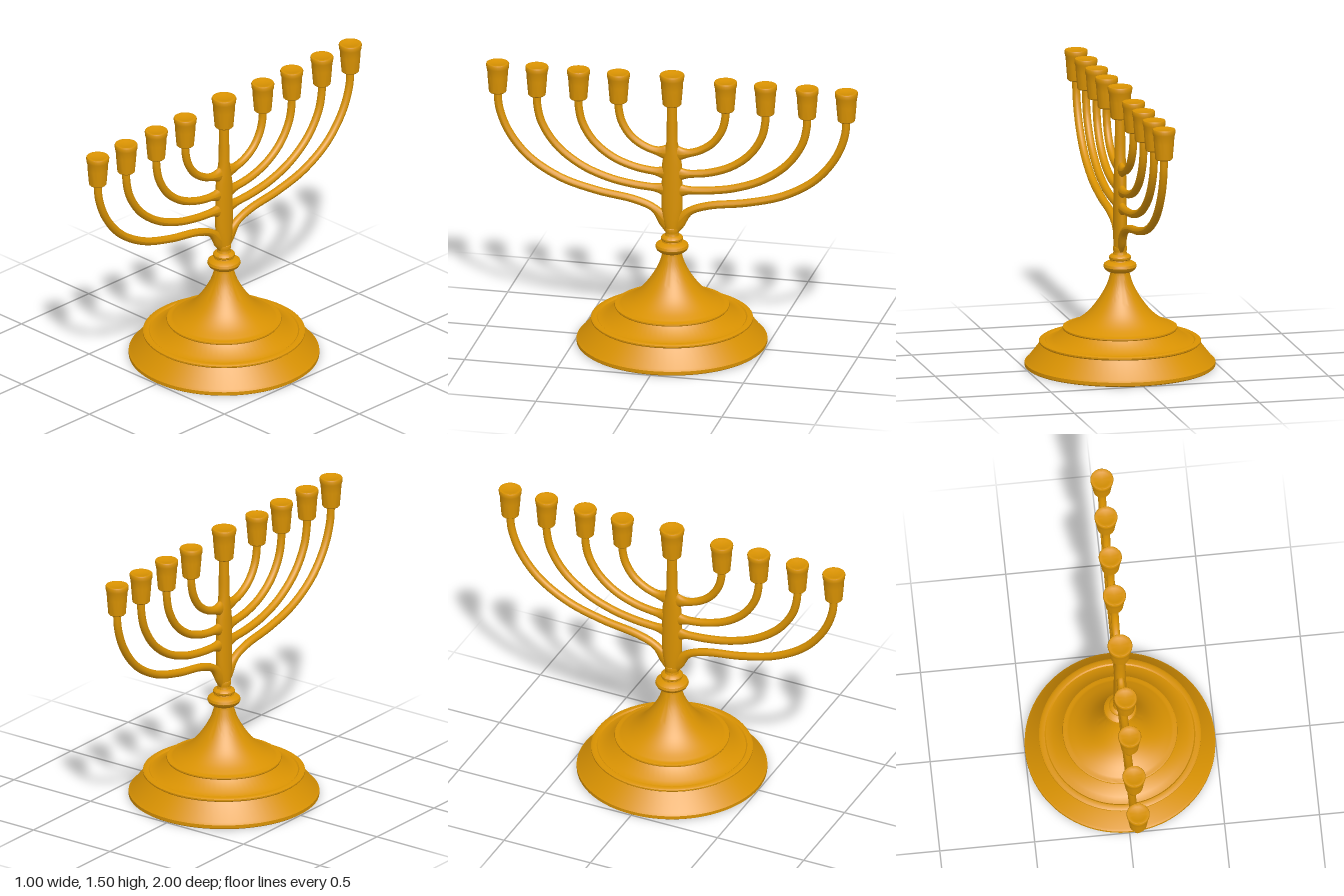
import * as THREE from 'three';
import { toCreasedNormals } from 'three/addons/utils/BufferGeometryUtils.js';

const gold = new THREE.MeshStandardMaterial({ name: 'gold', color: 0xd99202 });
const brown = new THREE.MeshStandardMaterial({ name: 'brown underside', color: 0xb38946 });

const v2 = (points) => points.map(([r, y]) => new THREE.Vector2(r, y));

// Turned shape with crisp edges where the profile bends sharply
function turned(points, segments = 64) {
  return toCreasedNormals(new THREE.LatheGeometry(v2(points), segments), 0.6);
}

function add(parent, name, geometry, material = gold) {
  const mesh = new THREE.Mesh(geometry, material);
  mesh.name = name;
  parent.add(mesh);
  return mesh;
}

// Curved arm in the yz plane, thickened into a fillet where it meets the stem
function armGeometry(points, side) {
  const curve = new THREE.CatmullRomCurve3(points.map(([z, y]) => new THREE.Vector3(0, y, z * side)));
  const steps = 64, around = 14;
  const geo = new THREE.TubeGeometry(curve, steps, 0.021, around);
  const pos = geo.attributes.position;
  for (let i = 0; i <= steps; i++) {
    const c = curve.getPointAt(i / steps);
    const reach = THREE.MathUtils.clamp(1 - (Math.abs(c.z) - 0.04) / 0.07, 0, 1);
    const k = 1 + 0.9 * reach ** 2;
    for (let j = 0; j <= around; j++) {
      const n = i * (around + 1) + j;
      pos.setY(n, c.y + (pos.getY(n) - c.y) * k);
      pos.setZ(n, c.z + (pos.getZ(n) - c.z) * k);
    }
  }
  geo.computeVertexNormals();
  return geo;
}

export function createModel() {
  const model = new THREE.Group();
  model.name = 'candelabrum';

  // Stepped round foot sweeping up to the neck
  const sweep = new THREE.SplineCurve(v2([
    [0.28, 0.215], [0.22, 0.247], [0.165, 0.293], [0.113, 0.36],
    [0.073, 0.43], [0.053, 0.49], [0.048, 0.52],
  ])).getPoints(24).map((p) => [p.x, p.y]);
  add(model, 'foot', turned([
    [0.492, 0], [0.5, 0.006], [0.5, 0.024], [0.488, 0.034], [0.418, 0.124],
    [0.425, 0.13], [0.425, 0.138], [0.416, 0.144], [0.395, 0.144], [0.388, 0.138],
    [0.352, 0.146], [0.298, 0.2], [0.301, 0.205], [0.3, 0.212], [0.292, 0.215], ...sweep,
  ], 72));
  const underside = add(model, 'underside', new THREE.CircleGeometry(0.492, 72), brown);
  underside.rotation.x = Math.PI / 2;

  // Round knop and small rings above the foot
  add(model, 'knop', turned([
    [0.045, 0.505], [0.065, 0.51], [0.08, 0.521], [0.088, 0.537], [0.084, 0.55],
    [0.07, 0.56], [0.052, 0.565], [0.05, 0.572], [0.057, 0.578], [0.058, 0.588],
    [0.052, 0.596], [0.038, 0.602], [0.034, 0.615], [0.038, 0.628], [0.036, 0.642], [0.028, 0.65],
  ], 40));

  // Stem, broadened front to back where the arms join
  const stem = new THREE.LatheGeometry(v2([
    [0.031, 0.6], [0.034, 0.65], [0.035, 0.7], [0.034, 0.76], [0.034, 0.84], [0.033, 0.92],
    [0.032, 1.0], [0.031, 1.07], [0.03, 1.12], [0.028, 1.2], [0.026, 1.35],
  ]), 28);
  const pos = stem.attributes.position;
  for (let i = 0; i < pos.count; i++) {
    const y = pos.getY(i);
    const widen = THREE.MathUtils.smoothstep(y, 0.6, 0.75) * (1 - THREE.MathUtils.smoothstep(y, 1.02, 1.12));
    pos.setZ(i, pos.getZ(i) * (1 + 0.65 * widen));
  }
  stem.computeVertexNormals();
  add(model, 'stem', stem);

  // Candle cup with a flared lip and a nearly flat top
  const cup = turned([
    [0, 0], [0.04, 0], [0.046, 0.006], [0.053, 0.09], [0.055, 0.125], [0.059, 0.138],
    [0.061, 0.158], [0.058, 0.165], [0.05, 0.166], [0.04, 0.162], [0, 0.16],
  ], 32);
  const centreCup = add(model, 'centreCup', cup);
  centreCup.position.y = 1.33;
  centreCup.scale.set(1.07, 1.05, 1.07);

  // Four arms on each side, each carrying a cup
  const arms = [
    [[0.0, 0.635], [0.045, 0.69], [0.1, 0.745], [0.2, 0.782], [0.4, 0.815], [0.6, 0.872],
      [0.77, 0.975], [0.88, 1.11], [0.93, 1.24], [0.938, 1.34]],
    [[0.0, 0.85], [0.08, 0.858], [0.2, 0.867], [0.34, 0.893], [0.49, 0.952],
      [0.62, 1.05], [0.7, 1.17], [0.725, 1.27], [0.727, 1.34]],
    [[0.0, 0.945], [0.08, 0.95], [0.2, 0.967], [0.32, 1.012], [0.42, 1.09],
      [0.482, 1.19], [0.502, 1.28], [0.503, 1.34]],
    [[0.0, 1.06], [0.08, 1.066], [0.15, 1.088], [0.22, 1.137], [0.268, 1.21],
      [0.286, 1.28], [0.288, 1.34]],
  ];
  for (const side of [1, -1]) {
    const end = side > 0 ? 'front' : 'back';
    arms.forEach((points, i) => {
      add(model, `${end}Arm${i + 1}`, armGeometry(points, side));
      const holder = add(model, `${end}Cup${i + 1}`, cup);
      holder.position.set(0, 1.322, points[points.length - 1][0] * side);
    });
  }
  return model;
}
